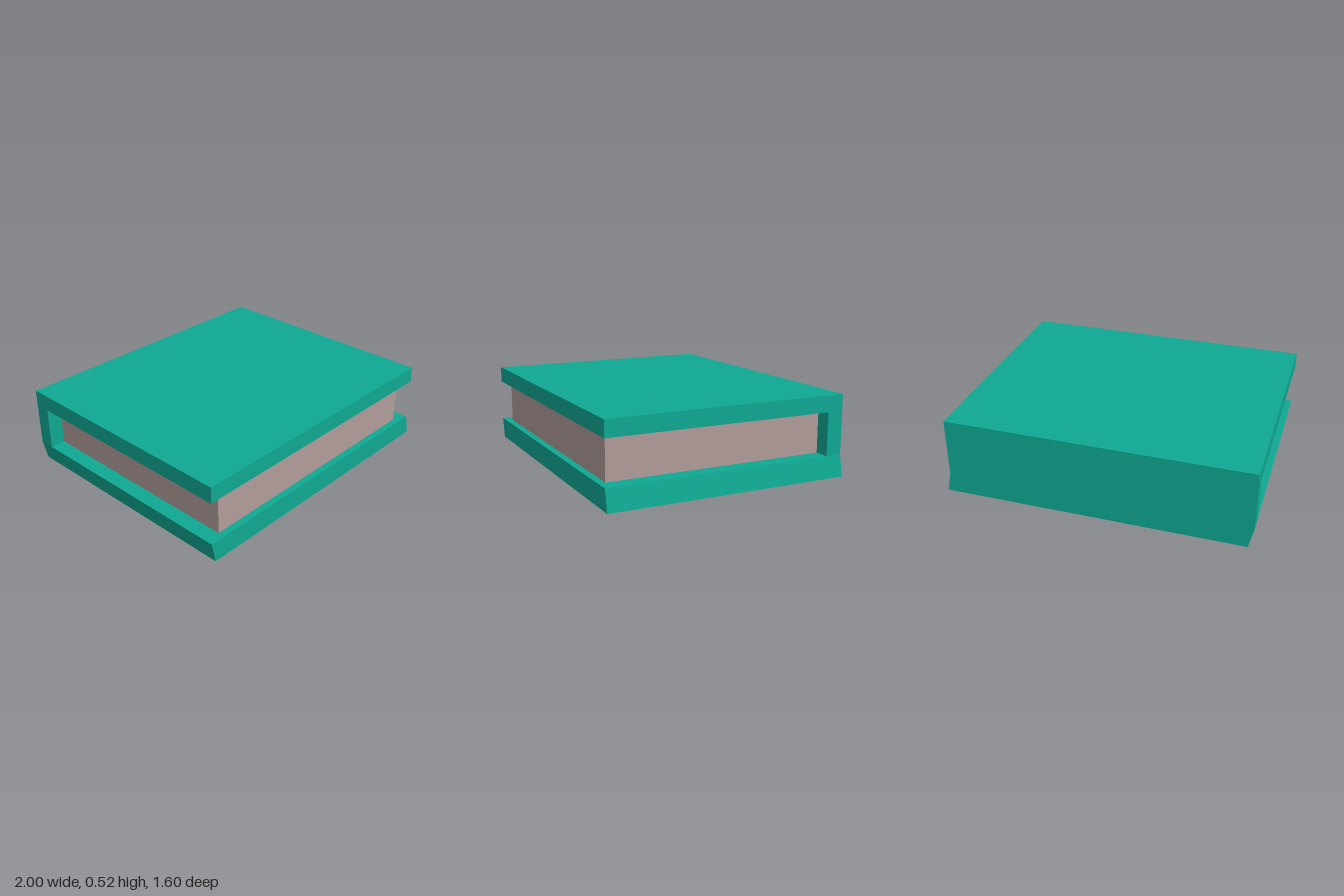
import * as THREE from 'three';

export function createModel() {
  const book = new THREE.Group();
  book.name = 'closedBook';

  const coverGreen = new THREE.MeshStandardMaterial({ color: 0x0fa892 });
  coverGreen.name = 'coverGreen';
  const pagePaper = new THREE.MeshStandardMaterial({ color: 0xb09c9a });
  pagePaper.name = 'pagePaper';

  // Box given by its lower and upper limits
  function block(name, material, [x0, x1], [y0, y1], [z0, z1]) {
    const geometry = new THREE.BoxGeometry(x1 - x0, y1 - y0, z1 - z0);
    geometry.translate((x0 + x1) / 2, (y0 + y1) / 2, (z0 + z1) / 2);
    const mesh = new THREE.Mesh(geometry, material);
    mesh.name = name;
    book.add(mesh);
    return mesh;
  }

  const width = [-1, 0.97];
  const depth = [-0.8, 0.8];
  const low = 0.137, high = 0.417;

  block('topCover', coverGreen, width, [high, 0.523], depth);
  block('spine', coverGreen, width, [low, high], [-0.8, -0.695]);
  block('pages', pagePaper, [-0.9, 0.87], [low, high], [-0.695, 0.755]);

  // Bottom cover: its underside is slid sideways
  const bottom = block('bottomCover', coverGreen, width, [0, low], depth);
  const position = bottom.geometry.attributes.position;
  for (let i = 0; i < position.count; i++) {
    if (position.getY(i) < low / 2) position.setX(i, position.getX(i) + 0.03);
  }
  bottom.geometry.computeVertexNormals();

  return book;
}
